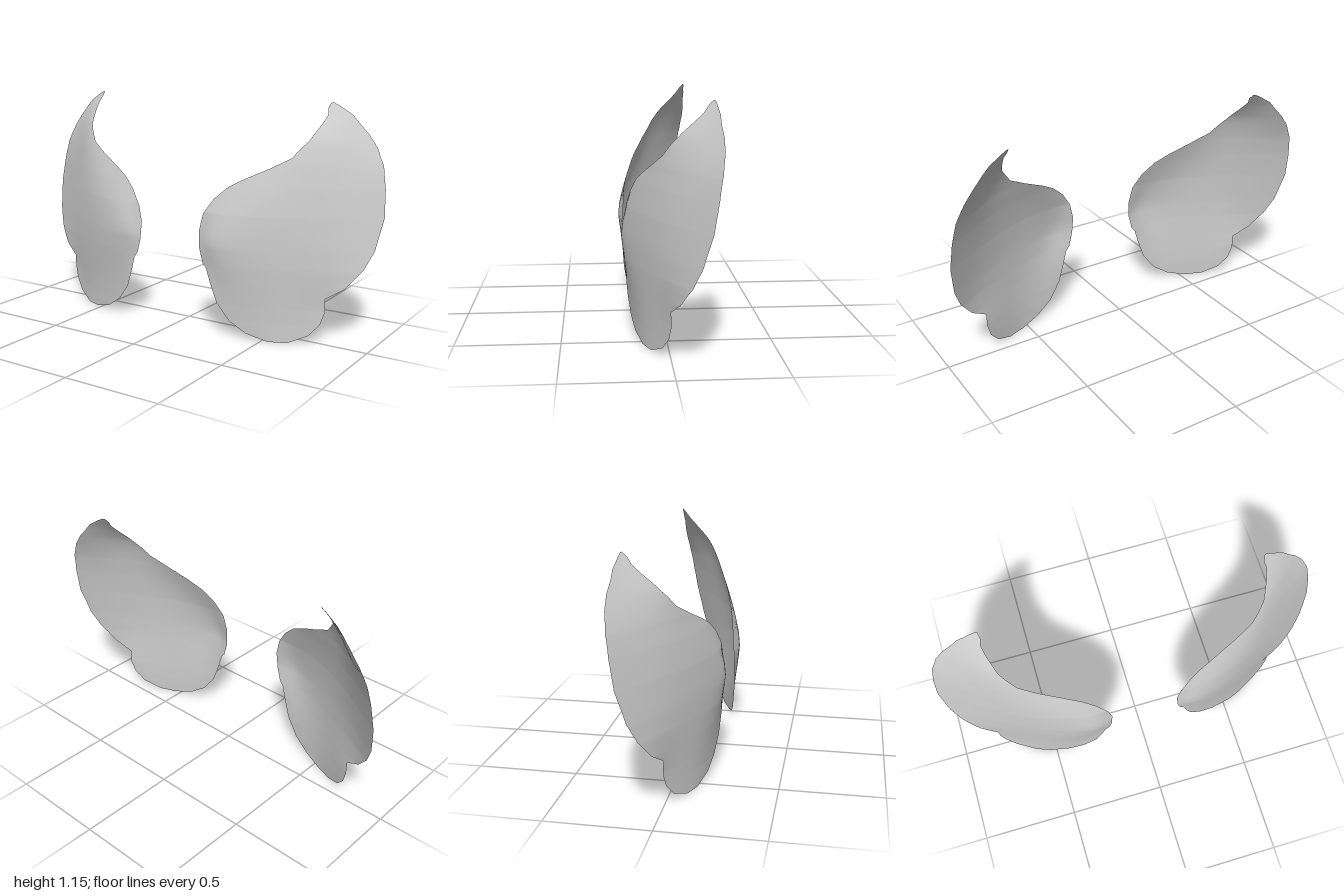
import * as THREE from 'three';

// Edge nearest the middle, bottom to top, as [y, x]
const innerEdge = [
  [0, 0.53], [0.03, 0.425], [0.085, 0.34], [0.17, 0.275], [0.27, 0.24], [0.34, 0.22],
  [0.365, 0.2], [0.44, 0.18], [0.53, 0.175], [0.615, 0.195], [0.69, 0.245], [0.75, 0.31],
  [0.795, 0.39], [0.845, 0.495], [0.9, 0.595], [0.985, 0.66], [1.06, 0.69], [1.1, 0.7],
  [1.13, 0.69], [1.155, 0.695],
];
// Outer edge with the step low down, bottom to top, as [y, x]
const outerEdge = [
  [0, 0.62], [0.04, 0.71], [0.1, 0.76], [0.165, 0.78], [0.23, 0.78], [0.285, 0.865],
  [0.375, 0.935], [0.47, 0.975], [0.625, 1], [0.76, 0.99], [0.865, 0.97], [0.95, 0.93],
  [1.01, 0.885], [1.1, 0.8], [1.14, 0.735], [1.155, 0.705],
];
// Points [x, y, z] that the curved surface passes through: around the edge, then inside
const controls = [
  [0.575, 0, 0.1], [0.425, 0.03, 0.145], [0.33, 0.1, 0.165], [0.27, 0.2, 0.178], [0.22, 0.35, 0.186],
  [0.177, 0.5, 0.18], [0.195, 0.615, 0.176], [0.24, 0.69, 0.158], [0.39, 0.795, 0.108], [0.5, 0.85, 0.068],
  [0.6, 0.905, 0.025], [0.66, 0.985, -0.028], [0.7, 1.1, -0.145], [0.7, 1.155, -0.192], [0.8, 1.1, -0.203],
  [0.885, 1.01, -0.21], [0.97, 0.865, -0.195], [0.995, 0.7, -0.168], [0.975, 0.47, -0.113],
  [0.935, 0.375, -0.075], [0.865, 0.285, -0.03], [0.78, 0.2, 0], [0.71, 0.04, 0.035],
  [0.24, 0.49, 0.208], [0.3, 0.35, 0.192], [0.4, 0.5, 0.176], [0.57, 0.45, 0.112], [0.8, 0.45, -0.005],
  [0.57, 0.2, 0.105], [0.5, 0.7, 0.115], [0.8, 0.8, -0.06], [0.8, 0.95, -0.11],
];

// Edge position at height y
function edgeAt(edge, y) {
  const i = Math.max(1, edge.findIndex((p) => p[0] >= y));
  const [y0, x0] = edge[i - 1], [y1, x1] = edge[i];
  return x0 + (x1 - x0) * (y - y0) / (y1 - y0);
}

// Thin bent plate through the control points, returned as z(x, y)
function bentPlate(points) {
  const n = points.length, size = n + 3;
  const terms = (x, y) => [
    ...points.map(([px, py]) => {
      const r2 = (x - px) ** 2 + (y - py) ** 2;
      return r2 > 0 ? r2 * Math.log(r2) : 0;
    }), 1, x, y];
  const rows = points.map(([x, y, z]) => [...terms(x, y), z]);
  for (const pick of [() => 1, (p) => p[0], (p) => p[1]]) rows.push([...points.map(pick), 0, 0, 0, 0]);
  // A touch of smoothing so the surface carries no ripples
  for (let i = 0; i < n; i++) rows[i][i] += 0.004;
  // Gauss-Jordan elimination
  for (let c = 0; c < size; c++) {
    let best = c;
    for (let r = c + 1; r < size; r++) if (Math.abs(rows[r][c]) > Math.abs(rows[best][c])) best = r;
    [rows[c], rows[best]] = [rows[best], rows[c]];
    for (let r = 0; r < size; r++) {
      if (r === c) continue;
      const k = rows[r][c] / rows[c][c];
      for (let j = c; j <= size; j++) rows[r][j] -= k * rows[c][j];
    }
  }
  const weights = rows.map((row, i) => row[size] / row[i]);
  return (x, y) => terms(x, y).reduce((sum, t, i) => sum + t * weights[i], 0);
}

// Curved panel lofted from rows running from the inner to the outer edge
function panelGeometry(side) {
  const depth = bentPlate(controls);
  const heights = [...new Set([...innerEdge, ...outerEdge].map((p) => p[0]))].sort((a, b) => a - b);
  const columns = 28, positions = [], index = [];
  heights.forEach((y, row) => {
    const x0 = edgeAt(innerEdge, y), x1 = edgeAt(outerEdge, y);
    for (let c = 0; c <= columns; c++) {
      const x = x0 + (x1 - x0) * (c / columns);
      positions.push(side * x, y, depth(x, y));
      if (row === 0 || c === 0) continue;
      const d = row * (columns + 1) + c, b = d - columns - 1;
      if (side > 0) index.push(b - 1, b, d, b - 1, d, d - 1);
      else index.push(b - 1, d, b, b - 1, d - 1, d);
    }
  });
  const geometry = new THREE.BufferGeometry();
  geometry.setAttribute('position', new THREE.Float32BufferAttribute(positions, 3));
  geometry.setIndex(index);
  geometry.computeVertexNormals();
  return geometry;
}

export function createModel() {
  const group = new THREE.Group();
  group.name = 'curvedPanels';
  const material = new THREE.MeshStandardMaterial({ color: 0xcccccc, side: THREE.DoubleSide });
  // Mirrored pair of panels
  for (const [name, side] of [['leftPanel', 1], ['rightPanel', -1]]) {
    const panel = new THREE.Mesh(panelGeometry(side), material);
    panel.name = name;
    group.add(panel);
  }
  return group;
}
